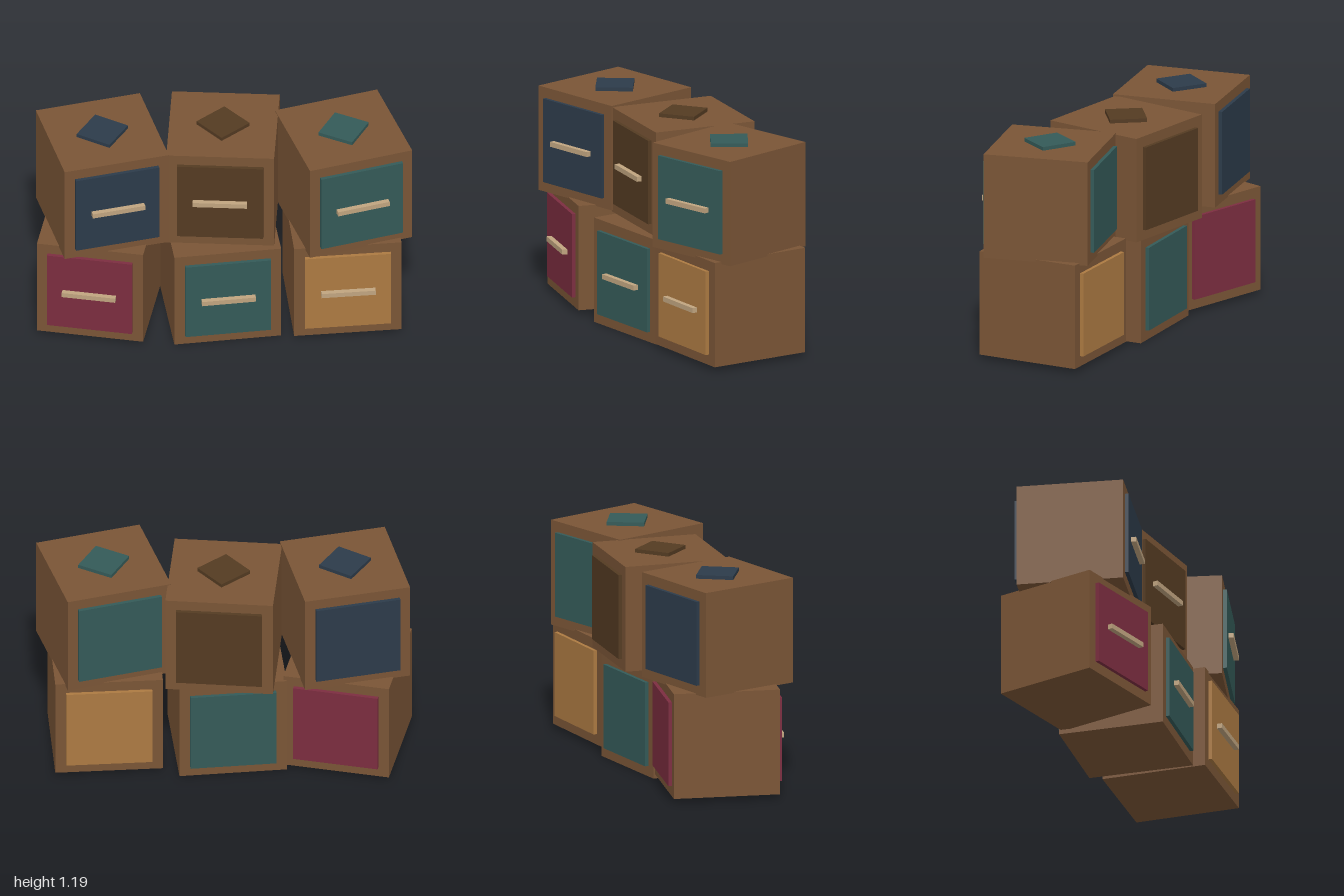
import * as THREE from 'three';

const SIZE = 0.575;      // edge of each cube
const PANEL = 0.46;      // edge of the coloured panels
const THICK = 0.02;      // how far panels stand out

export function createModel() {
  const model = new THREE.Group();
  model.name = 'drawerCubes';

  const mat = (name, color) => {
    const m = new THREE.MeshStandardMaterial({ color });
    m.name = name;
    return m;
  };
  const wood = mat('wood', 0x7a5536);
  const handleWood = mat('paleWood', 0xc0a47f);
  const teal = mat('teal', 0x345a58);
  const navy = mat('navy', 0x2c3b4a);
  const umber = mat('umber', 0x543b22);
  const maroon = mat('maroon', 0x7c2d40);
  const ochre = mat('ochre', 0xac7a42);

  const box = (parent, name, material, w, h, d, x, y, z) => {
    const mesh = new THREE.Mesh(new THREE.BoxGeometry(w, h, d), material);
    mesh.name = name;
    mesh.position.set(x, y, z);
    parent.add(mesh);
    return mesh;
  };

  // One cube: wooden body, panel front and back, handle, diamond on top
  function drawerCube(name, color, x, y, z, turn) {
    const cube = new THREE.Group();
    cube.name = name;
    const half = SIZE / 2;
    box(cube, 'body', wood, SIZE, SIZE, SIZE, 0, 0, 0);
    box(cube, 'frontPanel', color, PANEL, PANEL, THICK, 0, 0, half + THICK / 2);
    box(cube, 'backPanel', color, PANEL, PANEL, THICK, 0, 0, -half - THICK / 2);
    box(cube, 'handle', handleWood, 0.29, 0.027, 0.028, 0, 0, half + THICK + 0.014);
    const diamond = box(cube, 'topDiamond', color, 0.2, THICK, 0.2, 0, half + THICK / 2, 0);
    diamond.rotation.y = Math.PI / 4;
    cube.position.set(x, y, z);
    cube.rotation.y = turn;
    model.add(cube);
  }

  // Lower row
  drawerCube('lowerRightCube', maroon, -0.659, 0.312, 0, -0.21);
  drawerCube('lowerMiddleCube', teal, -0.018, 0.2875, 0.02, 0.113);
  drawerCube('lowerLeftCube', ochre, 0.632, 0.312, 0.005, 0.077);

  // Upper row
  drawerCube('upperRightCube', navy, -0.645, 0.88, 0.007, 0.24);
  drawerCube('upperMiddleCube', umber, 0, 0.87, -0.055, -0.083);
  drawerCube('upperLeftCube', teal, 0.64, 0.875, 0.018, 0.3);

  return model;
}
